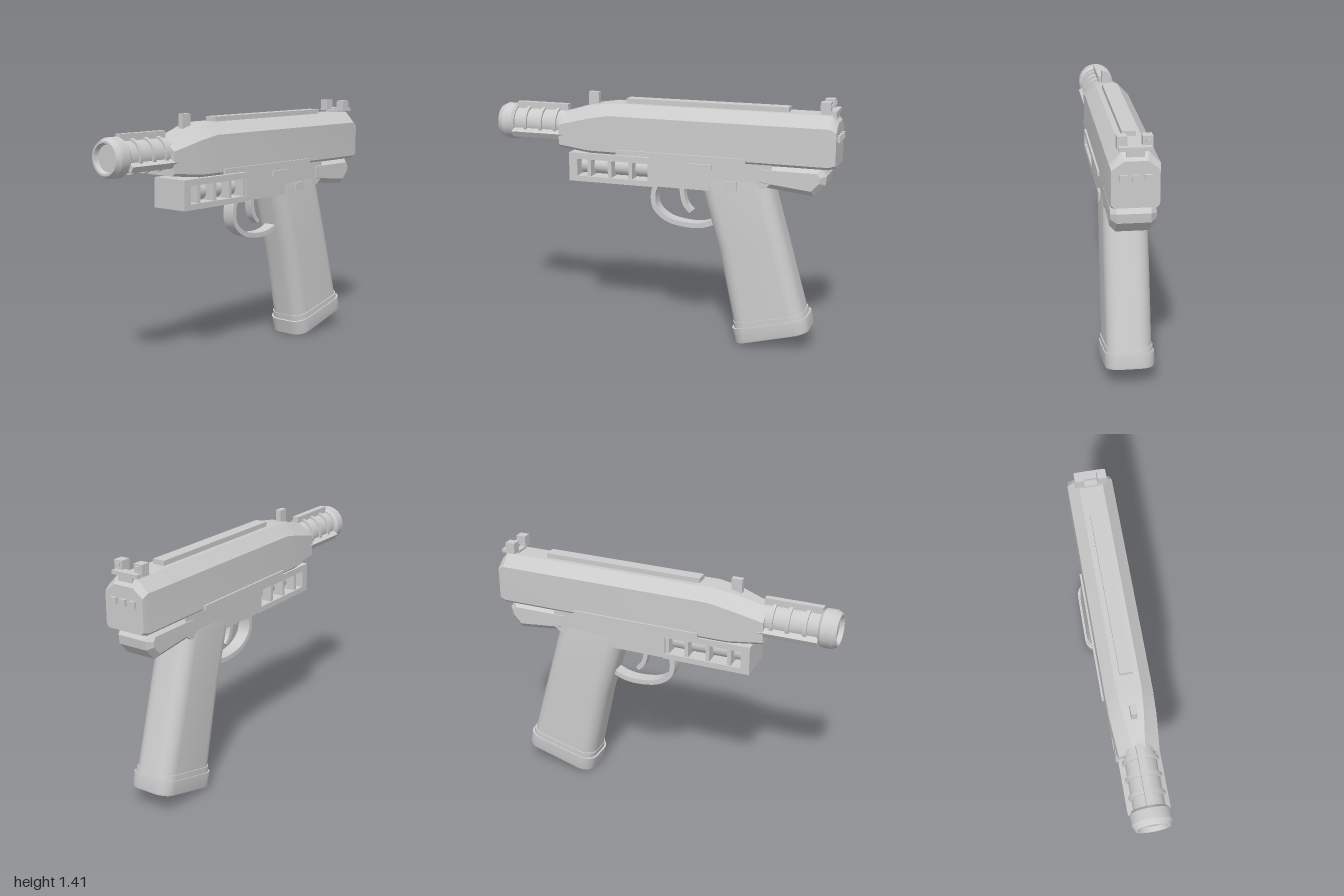
import * as THREE from 'three';
import { toCreasedNormals } from 'three/addons/utils/BufferGeometryUtils.js';

const material = new THREE.MeshStandardMaterial({ color: 0xcccccc });

// Skin through equal-length rings (counter-clockwise seen from the last ring), capped at both ends
function loft(rings, crease) {
  const pos = [];
  const tri = (...pts) => pts.forEach((p) => pos.push(p.x, p.y, p.z));
  const n = rings[0].length;
  const centre = (r) => r.reduce((s, p) => s.add(p), new THREE.Vector3()).divideScalar(n);
  const first = rings[0], last = rings[rings.length - 1];
  const c0 = centre(first), c1 = centre(last);
  for (let j = 0; j < n; j++) {
    const k = (j + 1) % n;
    for (let i = 0; i < rings.length - 1; i++) {
      const a = rings[i], b = rings[i + 1];
      tri(a[j], a[k], b[k]);
      tri(a[j], b[k], b[j]);
    }
    tri(c0, first[k], first[j]);
    tri(c1, last[j], last[k]);
  }
  const g = new THREE.BufferGeometry();
  g.setAttribute('position', new THREE.Float32BufferAttribute(pos, 3));
  return toCreasedNormals(g, crease);
}

// Side profile of [z, y] points extruded across x, with an optional inset bevel
function profile(points, halfWidth, bevel = 0) {
  const shape = new THREE.Shape(points.map(([z, y]) => new THREE.Vector2(z, y)));
  const depth = 2 * (halfWidth - bevel);
  const g = new THREE.ExtrudeGeometry(shape, {
    depth, bevelEnabled: bevel > 0, bevelSize: bevel, bevelThickness: bevel,
    bevelOffset: -bevel, bevelSegments: 1,
  });
  g.translate(0, 0, -depth / 2).rotateY(-Math.PI / 2);
  return toCreasedNormals(g, 0.4);
}

// Curved flat band following [z, y] points
function band(points, thickness, halfWidth) {
  const curve = new THREE.CatmullRomCurve3(points.map(([z, y]) => new THREE.Vector3(z, y, 0)));
  const outer = [], inner = [], N = 28;
  for (let i = 0; i <= N; i++) {
    const p = curve.getPointAt(i / N), t = curve.getTangentAt(i / N);
    const dx = -t.y * thickness / 2, dy = t.x * thickness / 2;
    outer.push([p.x + dx, p.y + dy]);
    inner.unshift([p.x - dx, p.y - dy]);
  }
  return profile([...outer, ...inner], halfWidth);
}

// Rounded rectangle between a front and a back [z, y] point
function gripRing(front, back, halfWidth, r) {
  const f = new THREE.Vector3(0, front[1], front[0]);
  const b = new THREE.Vector3(0, back[1], back[0]);
  const half = f.distanceTo(b) / 2, steps = 7, ring = [];
  [[1, 1], [-1, 1], [-1, -1], [1, -1]].forEach(([sx, ss], q) => {
    for (let i = 0; i <= steps; i++) {
      const a = (q + i / steps) * Math.PI / 2;
      const x = sx * (halfWidth - r) + r * Math.cos(a);
      const s = ss * (half - r) + r * Math.sin(a);
      const p = f.clone().lerp(b, (s / half + 1) / 2);
      p.x = x;
      ring.push(p);
    }
  });
  return ring;
}

export function createModel() {
  const model = new THREE.Group();
  const add = (name, geometry, parent = model) => {
    const mesh = new THREE.Mesh(geometry, material);
    mesh.name = name;
    parent.add(mesh);
    return mesh;
  };
  // Box given by its limits on each axis
  const box = (name, [x0, x1], [y0, y1], [z0, z1], parent) =>
    add(name, new THREE.BoxGeometry(x1 - x0, y1 - y0, z1 - z0), parent)
      .position.set((x0 + x1) / 2, (y0 + y1) / 2, (z0 + z1) / 2);

  // Upper body: z, half width, top half width, bottom, shoulder and top heights
  const sections = [
    [-0.985, 0.118, 0.058, 1.06, 1.25, 1.295],
    [-0.95, 0.125, 0.065, 1.05, 1.27, 1.333],
    [0.3, 0.125, 0.065, 1.05, 1.27, 1.333],
    [0.42, 0.122, 0.055, 1.05, 1.248, 1.316],
    [0.61, 0.106, 0.03, 1.07, 1.2, 1.26],
  ];
  add('upperBody', loft(sections.map(([z, w, t, yb, ys, yt]) => [
    [w - 0.015, yb], [w, yb + 0.015], [w, ys], [t, yt],
    [-t, yt], [-w, ys], [-w, yb + 0.015], [-w + 0.015, yb],
  ].map(([x, y]) => new THREE.Vector3(x, y, z))), 0.3));
  for (const x of [-0.06, 0, 0.06]) {
    box('rearStud', [x - 0.018, x + 0.018], [1.195, 1.23], [-1, -0.98]);
  }
  box('topRib', [-0.035, 0.035], [1.32, 1.36], [-0.71, 0.22]);
  for (const s of [-1, 1]) {
    box('sideStrip', [s * 0.125 - 0.011, s * 0.125 + 0.011], [1.055, 1.082], [-0.5, 0.25]);
  }

  // Sights
  box('frontSight', [-0.016, 0.016], [1.29, 1.385], [0.395, 0.455]);
  const rearSight = new THREE.Group();
  rearSight.name = 'rearSight';
  model.add(rearSight);
  box('sightBase', [-0.045, 0.045], [1.31, 1.345], [-0.97, -0.89], rearSight);
  box('sightBar', [-0.08, 0.08], [1.34, 1.36], [-0.975, -0.925], rearSight);
  for (const s of [-1, 1]) {
    const x = s * 0.062;
    box('sightPost', [x - 0.025, x + 0.025], [1.343, 1.406], [-0.945, -0.89], rearSight);
    box('sightDot', [x - 0.01, x + 0.01], [1.375, 1.395], [-0.952, -0.94], rearSight);
  }

  // Barrel with rings, three rails and a recessed muzzle cap
  const barrel = new THREE.Group();
  barrel.name = 'barrel';
  barrel.position.y = 1.187;
  model.add(barrel);
  const lathe = (name, pts) => add(name, toCreasedNormals(
    new THREE.LatheGeometry(pts.map(([r, z]) => new THREE.Vector2(r, z)), 48).rotateX(Math.PI / 2), 0.4), barrel);
  lathe('barrelCore', [[0, 0.55], [0.083, 0.55], [0.083, 0.92], [0, 0.92]]);
  for (const z of [0.645, 0.735, 0.83]) {
    lathe('barrelRing', [[0.08, z - 0.01], [0.095, z - 0.01], [0.095, z + 0.01], [0.08, z + 0.01]]);
  }
  lathe('muzzleCap', [[0, 0.9], [0.092, 0.9], [0.105, 0.915], [0.105, 0.97], [0.09, 1],
    [0.078, 1], [0.07, 0.975], [0, 0.975]]);
  for (let i = 0; i < 3; i++) {
    const rail = add('barrelRail', new THREE.BoxGeometry(0.036, 0.042, 0.32), barrel);
    const a = i * Math.PI * 2 / 3;
    rail.position.set(Math.sin(a) * 0.097, Math.cos(a) * 0.097, 0.745);
    rail.rotation.z = -a;
  }

  // Lower frame and bevelled tail
  add('frame', profile([[0.05, 1.055], [0.05, 0.885], [-0.27, 0.885], [-0.6, 0.92], [-0.64, 0.95],
    [-0.64, 1.055]].reverse(), 0.113));
  add('frameTail', profile([[-0.55, 1.055], [-0.55, 0.93], [-0.63, 0.92], [-0.87, 0.895],
    [-0.932, 0.96], [-0.938, 1.01], [-0.905, 1.055]].reverse(), 0.115, 0.03));

  // Open housing under the barrel with ribs around an inner rod
  const W = [-0.113, 0.113];
  box('housingTop', W, [1.01, 1.045], [0.04, 0.545]);
  box('housingFloor', W, [0.88, 0.912], [0.04, 0.545]);
  box('housingFront', W, [0.88, 1.045], [0.495, 0.545]);
  for (const z of [0.06, 0.175, 0.3, 0.425]) {
    box('housingRib', [-0.105, 0.105], [0.9, 1.02], [z - 0.011, z + 0.011]);
  }
  add('housingRod', new THREE.CylinderGeometry(0.052, 0.052, 0.48, 32).rotateX(Math.PI / 2))
    .position.set(0, 0.961, 0.27);

  // Controls on the left side
  box('slideCatch', [0.1, 0.125], [1.005, 1.033], [-0.305, -0.175]);
  box('sideButton', [0.1, 0.125], [0.9, 0.947], [-0.45, -0.383]);

  // Trigger and guard
  add('triggerGuard', band([[0.035, 0.9], [0.062, 0.82], [0.05, 0.74], [-0.02, 0.68],
    [-0.14, 0.655], [-0.24, 0.662], [-0.32, 0.695]], 0.028, 0.037));
  add('trigger', band([[-0.105, 0.9], [-0.108, 0.83], [-0.125, 0.77], [-0.16, 0.73]], 0.026, 0.024));

  // Raked grip with collar and base
  add('grip', loft([
    gripRing([-0.435, 0.1], [-0.835, 0.205], 0.12, 0.08),
    gripRing([-0.34, 0.54], [-0.715, 0.63], 0.12, 0.08),
    gripRing([-0.235, 0.89], [-0.632, 0.92], 0.117, 0.08),
    gripRing([-0.215, 0.96], [-0.62, 0.97], 0.112, 0.08),
  ], 0.6));
  add('gripCollar', loft([
    gripRing([-0.435, 0.08], [-0.846, 0.185], 0.126, 0.08),
    gripRing([-0.428, 0.12], [-0.836, 0.22], 0.126, 0.08),
  ], 0.6));
  add('gripBase', loft([
    gripRing([-0.448, 0], [-0.867, 0.115], 0.128, 0.075),
    gripRing([-0.445, 0.012], [-0.868, 0.127], 0.132, 0.08),
    gripRing([-0.424, 0.085], [-0.854, 0.196], 0.132, 0.08),
  ], 0.6));
  return model;
}
